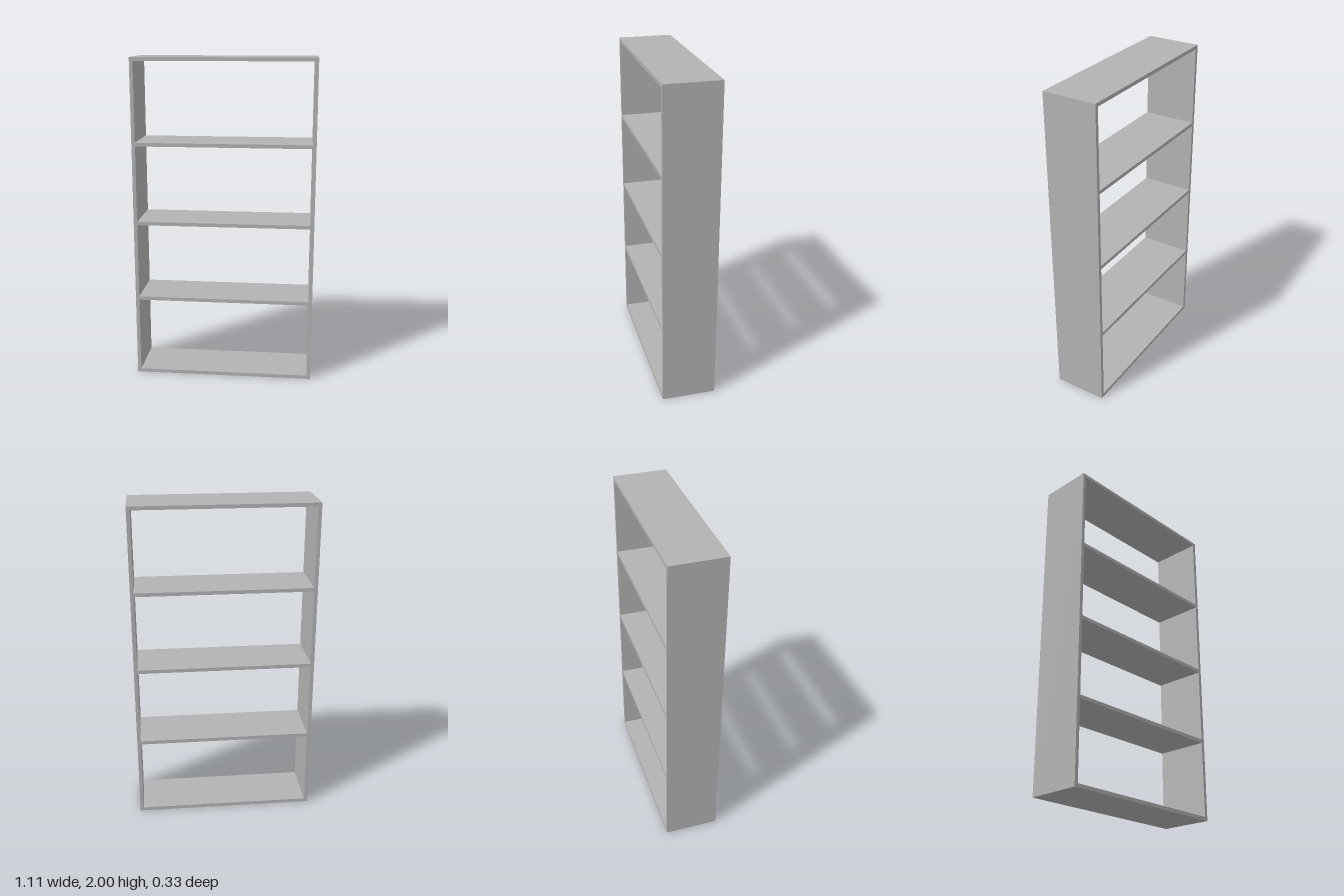
import * as THREE from 'three';

const WIDTH = 1.11, HEIGHT = 2, DEPTH = 0.333, BOARD = 0.022;

export function createModel() {
  const model = new THREE.Group();
  model.name = 'bookcase';
  const grey = new THREE.MeshStandardMaterial({ color: 0xb2b2b2 });
  grey.name = 'grey board';

  const board = (name, w, h, x, y) => {
    const mesh = new THREE.Mesh(new THREE.BoxGeometry(w, h, DEPTH), grey);
    mesh.name = name;
    mesh.position.set(x, y, 0);
    model.add(mesh);
  };

  // Upright side panels
  const sideX = (WIDTH - BOARD) / 2;
  board('leftSide', BOARD, HEIGHT, sideX, HEIGHT / 2);
  board('rightSide', BOARD, HEIGHT, -sideX, HEIGHT / 2);

  // Top, base and shelves fitted between the sides
  const inner = WIDTH - 2 * BOARD;
  board('base', inner, BOARD, 0, BOARD / 2);
  board('top', inner, BOARD, 0, HEIGHT - BOARD / 2);
  [0.505, 0.993, 1.483].forEach((y, i) => board(`shelf${i + 1}`, inner, BOARD, 0, y));

  return model;
}
